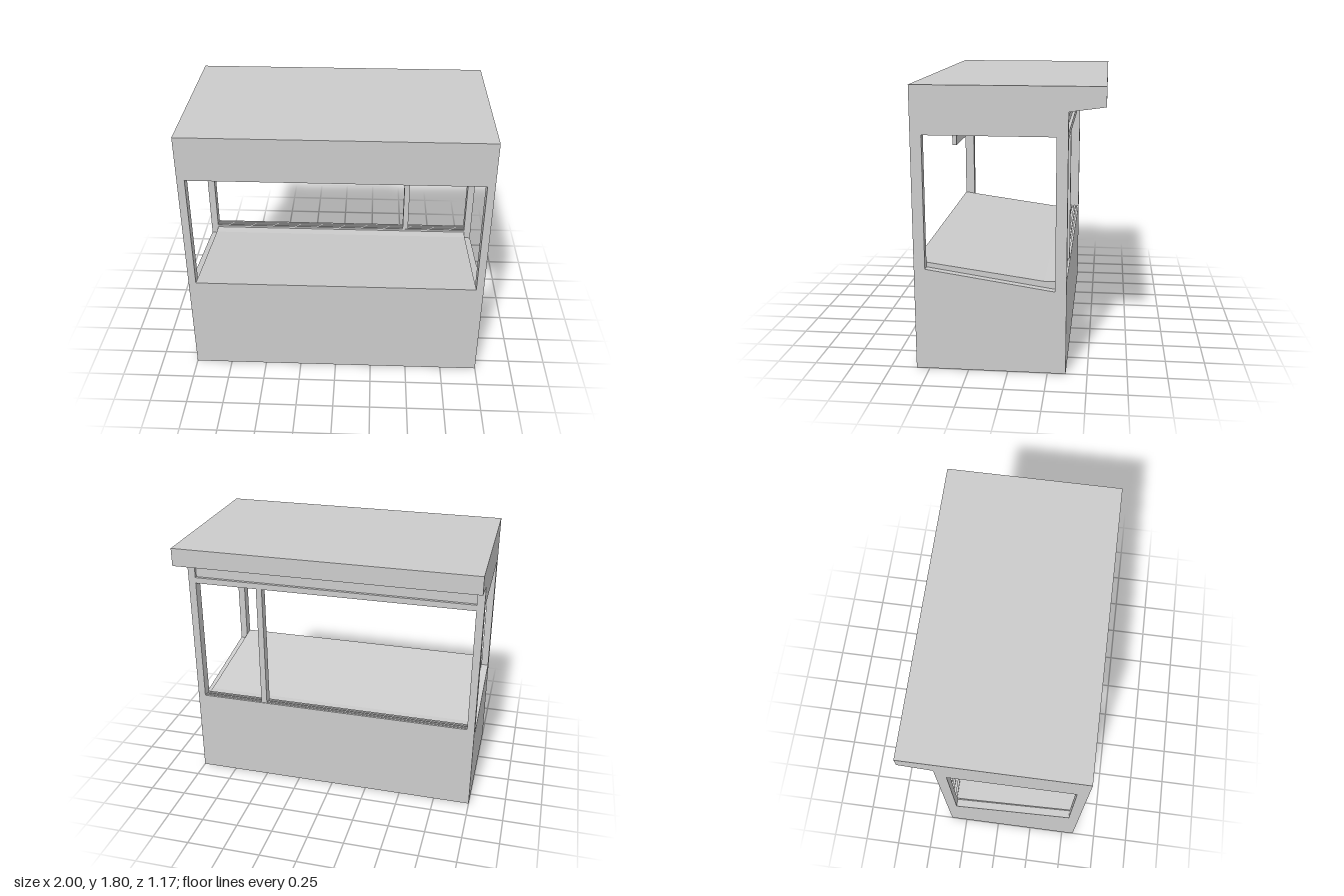
import * as THREE from 'three';

const material = new THREE.MeshStandardMaterial({ color: 0xcccccc, flatShading: true });

export function createModel() {
  const kiosk = new THREE.Group();
  kiosk.name = 'kiosk';

  const add = (name, geometry) => {
    const mesh = new THREE.Mesh(geometry, material);
    mesh.name = name;
    kiosk.add(mesh);
    return mesh;
  };

  // Box given by its limits on each axis
  const box = (name, [x0, x1], [y0, y1], [z0, z1]) => {
    const geometry = new THREE.BoxGeometry(x1 - x0, y1 - y0, z1 - z0);
    geometry.translate((x0 + x1) / 2, (y0 + y1) / 2, (z0 + z1) / 2);
    return add(name, geometry);
  };

  // Side profile of [z, y] points, extruded along x
  const toPoints = (points) => points.map(([z, y]) => new THREE.Vector2(-z, y));
  const profile = (name, [x0, x1], points, hole) => {
    const shape = new THREE.Shape(toPoints(points));
    if (hole) shape.holes.push(new THREE.Path(toPoints(hole)));
    const geometry = new THREE.ExtrudeGeometry(shape, { depth: x1 - x0, bevelEnabled: false });
    geometry.rotateY(Math.PI / 2);
    geometry.translate(x0, 0, 0);
    return add(name, geometry);
  };

  const front = 0.585, back = -0.365;
  const innerFront = 0.515, innerBack = -0.295;
  const inside = [-0.95, 0.95];

  // Side walls with a window whose sill slopes to the back
  for (const [name, span] of [['leftWall', [0.95, 1]], ['rightWall', [-1, -0.95]]]) {
    profile(name, span,
      [[front, 0], [back, 0], [back, 1.78], [front, 1.78]],
      [[innerFront, 0.66], [innerFront, 1.5], [innerBack, 1.5], [innerBack, 0.54]]);
  }

  // Base with the sloping counter and the flat back sill
  profile('baseAndCounter', inside, [
    [front, 0], [back, 0], [back, 0.59], [-0.225, 0.59], [front, 0.7],
  ]);

  // Roof slab and the solid overhang behind it
  profile('roof', [-1, 1], [
    [front, 1.78], [back, 1.78], [back, 1.65], [-0.585, 1.68], [-0.585, 1.8], [front, 1.8],
  ]);

  // Headers; the back one has a shallow recessed panel
  box('frontHeader', inside, [1.5, 1.78], [innerFront, front]);
  box('backHeader', inside, [1.62, 1.78], [back, innerBack]);
  box('backHeaderPanel', inside, [1.52, 1.62], [-0.345, innerBack]);
  box('backHeaderLip', inside, [1.5, 1.52], [back, innerBack]);

  // Sliding window tracks along the top and bottom of the back opening
  for (const z of [back, -0.34, -0.31]) {
    box('upperTrack', inside, [1.48, 1.5], [z, z + 0.015]);
    box('lowerTrack', inside, [0.59, 0.605], [z, z + 0.015]);
  }

  // Post dividing the back opening
  box('backPost', [0.48, 0.52], [0.59, 1.5], [-0.36, -0.3]);

  // Ceiling beam and the rail hung under it
  box('ceilingBeam', [-0.02, 0.02], [1.5, 1.57], [innerBack, innerFront]);
  box('hangingRail', [-0.975, 0.925], [1.43, 1.5], [0.315, 0.34]);

  return kiosk;
}
